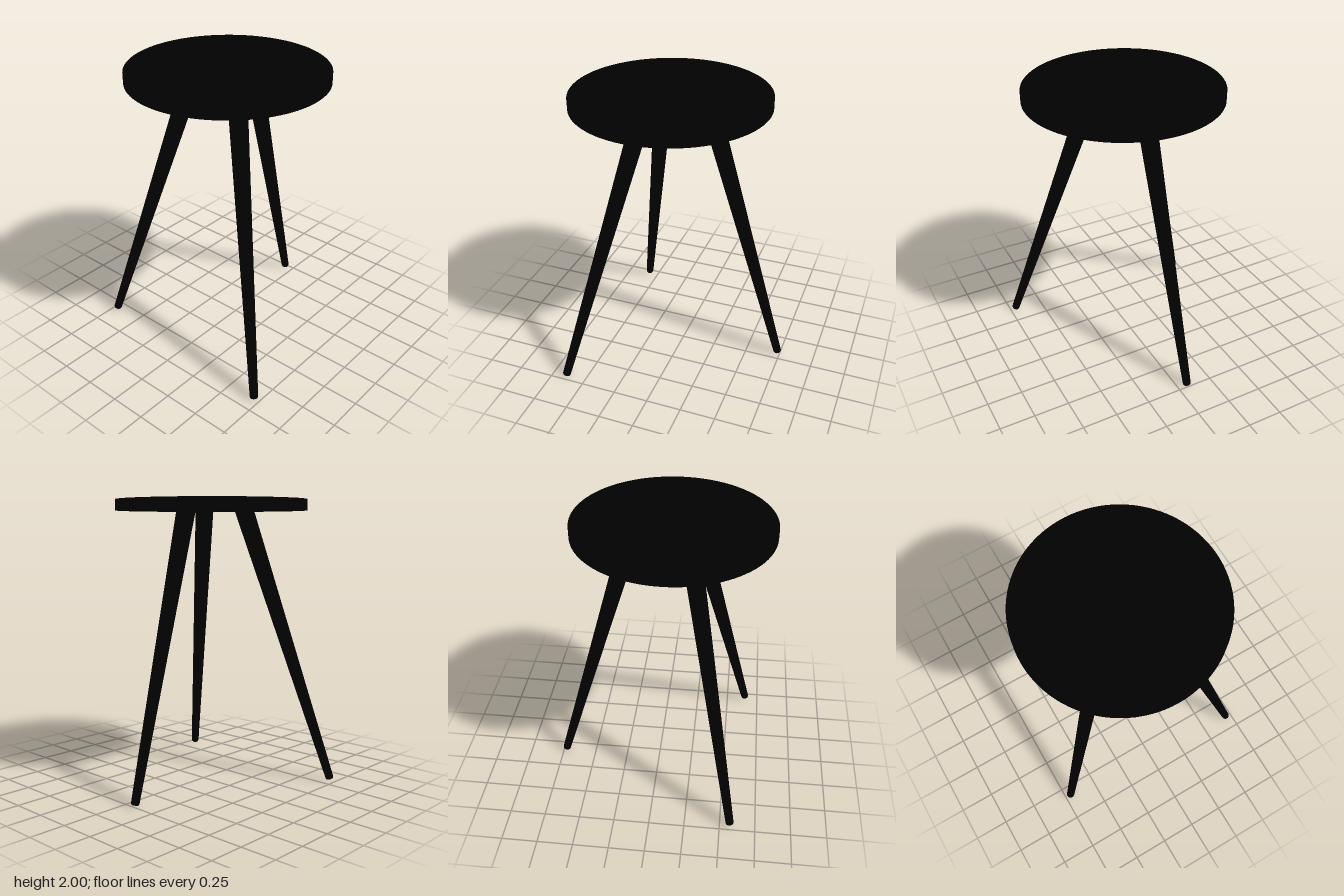
import * as THREE from 'three';
import { toCreasedNormals } from 'three/addons/utils/BufferGeometryUtils.js';

const black = new THREE.MeshStandardMaterial({ color: 0x010101 });
black.name = 'black';

// Turned part from [radius, height] points, listed bottom to top
function turned(name, profile, segments) {
  const points = profile.map(([r, y]) => new THREE.Vector2(r, y));
  const geometry = toCreasedNormals(new THREE.LatheGeometry(points, segments), 0.6);
  const mesh = new THREE.Mesh(geometry, black);
  mesh.name = name;
  return mesh;
}

// Tapered round leg with a softened foot, running from foot to top
function leg(name, foot, top) {
  const a = new THREE.Vector3(...foot);
  const axis = new THREE.Vector3(...top).sub(a);
  const length = axis.length();
  const mesh = turned(name, [
    [0, 0], [0.02, 0], [0.025, 0.003], [0.0275, 0.009], [0.0285, 0.016],
    [0.065, length], [0, length],
  ], 32);
  mesh.position.copy(a);
  mesh.quaternion.setFromUnitVectors(new THREE.Vector3(0, 1, 0), axis.normalize());
  return mesh;
}

export function createModel() {
  const stool = new THREE.Group();
  stool.name = 'stool';

  // Round tray-like seat with a thin raised lip
  const seat = turned('seat', [
    [0, 1.923], [0.668, 1.923], [0.67, 1.925], [0.67, 1.998], [0.668, 2],
    [0.66, 2], [0.657, 1.997], [0.655, 1.97], [0.648, 1.965], [0, 1.965],
  ], 96);
  seat.position.set(0.007, 0, 0.085);
  stool.add(seat);

  // Three splayed legs, their tops let into the seat
  stool.add(
    leg('frontRightLeg', [-0.711, 0.016, 0.573], [-0.186, 1.94, 0.208]),
    leg('frontLeftLeg', [0.708, 0.006, 0.648], [0.182, 1.94, 0.204]),
    leg('backLeg', [-0.07, 0.006, -0.732], [-0.008, 1.94, -0.177]),
  );
  return stool;
}
